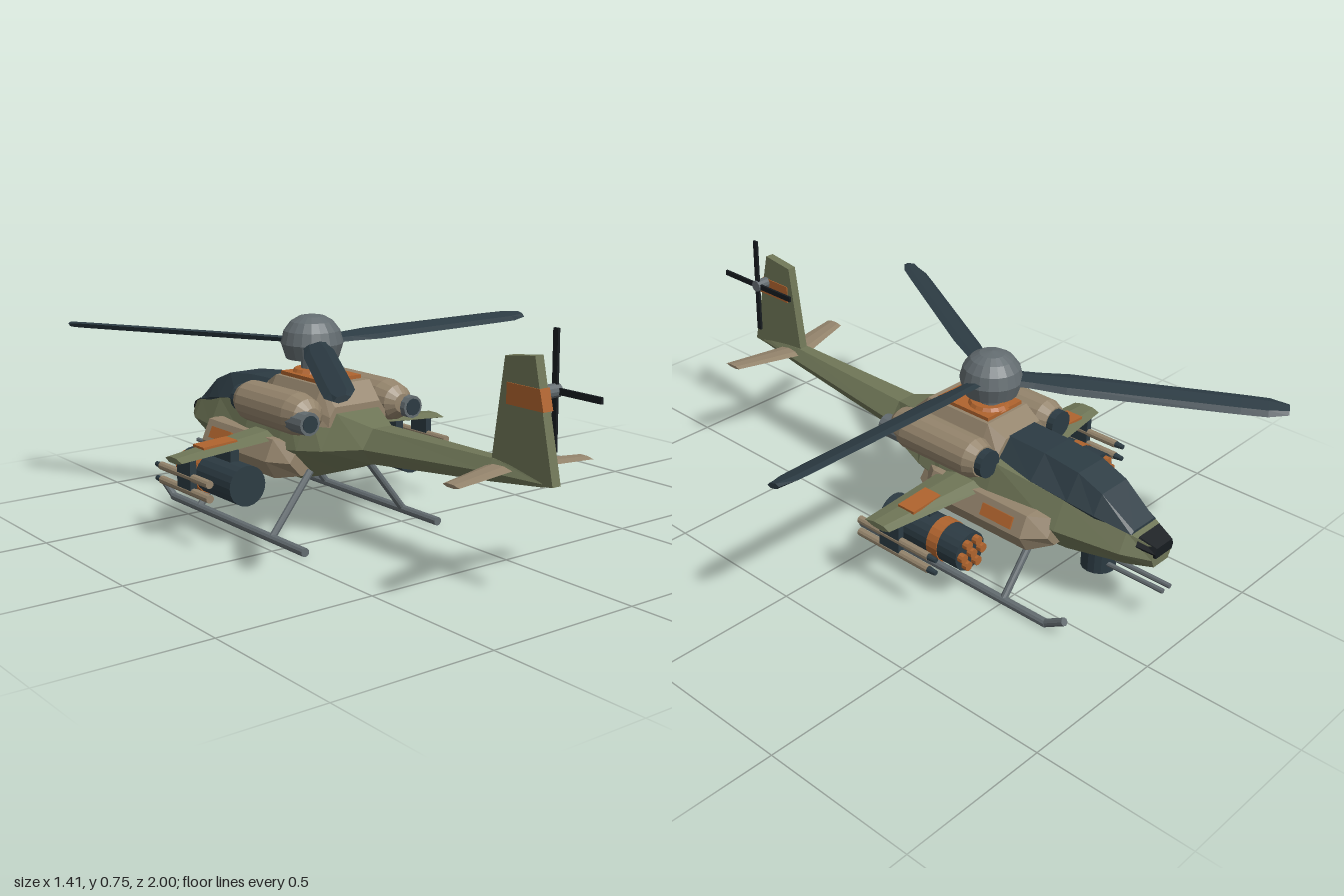
import * as THREE from 'three';

const mat = (name, color, flatShading = true) => {
  const m = new THREE.MeshStandardMaterial({ color, flatShading });
  m.name = name;
  return m;
};

export function createModel() {
  const green = mat('olive green', 0x6f7657);
  const tan = mat('sand tan', 0x94846c);
  const dark = mat('slate blue', 0x2c3b43);
  const grey = mat('steel grey', 0x636c70);
  const orange = mat('rust orange', 0xb0642e);
  const black = mat('near black', 0x171c20);

  const model = new THREE.Group();
  model.name = 'helicopter';
  const body = new THREE.Group();
  body.name = 'airframe';
  body.position.x = -0.196; // long rotor blade reaches out to +x
  model.add(body);

  const add = (name, geo, material, x = 0, y = 0, z = 0, parent = body) => {
    const m = new THREE.Mesh(geo, material);
    m.name = name;
    m.position.set(x, y, z);
    parent.add(m);
    return m;
  };
  const box = (w, h, d) => new THREE.BoxGeometry(w, h, d);
  const cylZ = (r, len, n = 16, r2 = r) => new THREE.CylinderGeometry(r, r2, len, n).rotateX(Math.PI / 2);

  // Skin a list of equal-length rings, with closed ends
  const loft = (rings) => {
    const p = [];
    const tri = (...v) => v.forEach((q) => p.push(...q));
    const n = rings[0].length;
    for (let i = 0; i < rings.length - 1; i++) {
      for (let j = 0; j < n; j++) {
        const k = (j + 1) % n, A = rings[i], B = rings[i + 1];
        tri(A[j], A[k], B[k]);
        tri(A[j], B[k], B[j]);
      }
    }
    const first = rings[0], last = rings[rings.length - 1];
    for (let j = 1; j < n - 1; j++) {
      tri(first[0], first[j + 1], first[j]);
      tri(last[0], last[j], last[j + 1]);
    }
    const g = new THREE.BufferGeometry();
    g.setAttribute('position', new THREE.Float32BufferAttribute(p, 3));
    g.computeVertexNormals();
    return g;
  };
  // Symmetric section along z: [z, bottomY, bottomHalf, midY, midHalf, topY, topHalf]
  const hullRing = ([z, by, bw, my, mw, ty, tw]) =>
    [[mw, my, z], [tw, ty, z], [-tw, ty, z], [-mw, my, z], [-bw, by, z], [bw, by, z]];
  // Lens section along x: [x, frontZ, backZ, y, thickness]
  const wing = (stations, s) => {
    const rings = stations.map(([x, f, b, y, t]) => [
      [x * s, y + t / 2, f + (b - f) * 0.65], [x * s, y, b], [x * s, y - t / 2, f + (b - f) * 0.65],
      [x * s, y - t / 2, f + (b - f) * 0.25], [x * s, y, f], [x * s, y + t / 2, f + (b - f) * 0.25]]);
    return loft(s > 0 ? rings : rings.reverse());
  };
  // Rod between two points
  const rod = (name, a, b, r, material, parent = body) => {
    const A = new THREE.Vector3(...a), B = new THREE.Vector3(...b), d = B.clone().sub(A);
    const m = add(name, new THREE.CylinderGeometry(r, r, d.length(), 10), material, 0, 0, 0, parent);
    m.position.copy(A).add(B).multiplyScalar(0.5);
    m.quaternion.setFromUnitVectors(new THREE.Vector3(0, 1, 0), d.normalize());
    return m;
  };

  // Fuselage and tail boom, nose towards -z
  add('fuselage', loft([
    [-0.885, 0.21, 0.035, 0.24, 0.05, 0.28, 0.04],
    [-0.8, 0.19, 0.05, 0.245, 0.095, 0.308, 0.065],
    [-0.6, 0.165, 0.08, 0.26, 0.152, 0.35, 0.11],
    [-0.35, 0.155, 0.09, 0.27, 0.18, 0.39, 0.14],
    [-0.15, 0.16, 0.09, 0.27, 0.18, 0.41, 0.14],
    [-0.06, 0.187, 0.085, 0.28, 0.17, 0.41, 0.12],
    [0.03, 0.22, 0.07, 0.29, 0.14, 0.4, 0.08],
    [0.155, 0.262, 0.045, 0.31, 0.075, 0.37, 0.035],
    [0.67, 0.315, 0.022, 0.345, 0.04, 0.38, 0.018],
    [0.86, 0.337, 0.01, 0.347, 0.016, 0.36, 0.01],
  ].map(hullRing)), green);

  // Glass canopy
  add('canopy', loft([
    [-0.815, 0.295, 0.05, 0.303, 0.062, 0.312, 0.05],
    [-0.7, 0.3, 0.08, 0.332, 0.095, 0.393, 0.06],
    [-0.61, 0.31, 0.09, 0.35, 0.11, 0.428, 0.06],
    [-0.48, 0.32, 0.1, 0.37, 0.122, 0.443, 0.06],
    [-0.34, 0.34, 0.1, 0.39, 0.11, 0.447, 0.06],
  ].map(hullRing)), dark);

  // Nose sensor visor
  add('noseVisor', loft([
    [-0.892, 0.245, 0.04, 0.262, 0.045, 0.28, 0.038],
    [-0.835, 0.26, 0.06, 0.275, 0.064, 0.302, 0.05],
  ].map(hullRing)), black);

  // Engine deck and its hatch
  add('engineDeck', loft([
    [-0.345, 0.36, 0.12, 0.4, 0.12, 0.445, 0.08],
    [-0.28, 0.36, 0.14, 0.41, 0.125, 0.477, 0.092],
    [-0.03, 0.36, 0.14, 0.41, 0.125, 0.477, 0.092],
    [0.03, 0.36, 0.11, 0.39, 0.105, 0.42, 0.085],
  ].map(hullRing)), tan);
  add('deckHatch', box(0.16, 0.012, 0.21), orange, 0, 0.483, -0.165);
  add('mastCollar', new THREE.CylinderGeometry(0.06, 0.07, 0.015, 16), orange, 0, 0.492, -0.205);

  // Side sponsons, one piece passing through the hull
  add('sponsons', loft([
    [-0.59, 0.195, 0.13, 0.235, 0.165, 0.29, 0.13],
    [-0.53, 0.177, 0.19, 0.235, 0.225, 0.302, 0.195],
    [-0.15, 0.177, 0.19, 0.235, 0.225, 0.302, 0.195],
    [-0.08, 0.19, 0.14, 0.235, 0.18, 0.29, 0.14],
  ].map(hullRing)), tan);

  for (const s of [1, -1]) {
    const side = new THREE.Group();
    side.name = s > 0 ? 'plusXSide' : 'minusXSide';
    body.add(side);
    const put = (name, geo, m, x, y, z) => add(name, geo, m, x * s, y, z, side);

    put('sponsonPanel', box(0.008, 0.038, 0.12), orange, 0.214, 0.267, -0.43).rotation.z = 0.42 * s;

    // Engine nacelle, intake and exhaust
    const profile = [[0, -0.335], [0.05, -0.335], [0.065, -0.3], [0.067, -0.04], [0.055, 0.01], [0.03, 0.035], [0, 0.037]];
    put('nacelle', new THREE.LatheGeometry(profile.map(([r, z]) => new THREE.Vector2(r, z)), 16)
      .rotateX(Math.PI / 2), tan, 0.172, 0.4, 0);
    put('intake', cylZ(0.045, 0.03), dark, 0.172, 0.4, -0.345);
    put('exhaust', cylZ(0.036, 0.12, 12), grey, 0.197, 0.388, -0.003);
    put('exhaustMouth', cylZ(0.027, 0.008, 12), dark, 0.197, 0.388, 0.056);

    // Stub wing with panel
    add('stubWing', wing([[0.13, -0.345, -0.165, 0.3, 0.034], [0.51, -0.265, -0.163, 0.272, 0.018]], s),
      green, 0, 0, 0, side);
    put('wingPanel', box(0.12, 0.009, 0.065), orange, 0.35, 0.297, -0.237).rotation.z = -0.06 * s;

    // Rocket pod
    put('podPylon', box(0.03, 0.05, 0.1), dark, 0.322, 0.258, -0.22);
    put('rocketPod', cylZ(0.064, 0.32, 20), dark, 0.322, 0.185, -0.26);
    put('podBand', cylZ(0.067, 0.042, 20), orange, 0.322, 0.185, -0.322);
    for (let i = 0; i < 7; i++) {
      const a = i * Math.PI / 3, r = i < 6 ? 0.042 : 0;
      put('rocketTip', cylZ(0.015, 0.03, 10), orange, 0.322 + r * Math.cos(a), 0.185 + r * Math.sin(a), -0.423);
    }

    // Missile pair on the outer pylon
    put('missilePylon', box(0.022, 0.1, 0.08), dark, 0.46, 0.225, -0.225);
    for (const y of [0.215, 0.17]) {
      put('missile', cylZ(0.013, 0.29, 10), tan, 0.46, y, -0.235);
      put('missileTip', cylZ(0.011, 0.03, 10, 0.008), dark, 0.46, y, -0.395);
    }

    // Landing skid
    rod('skid', [0.257 * s, 0.014, 0.11], [0.257 * s, 0.014, -0.675], 0.014, grey, side);
    rod('skidToe', [0.257 * s, 0.014, -0.67], [0.257 * s, 0.055, -0.74], 0.013, grey, side);
    for (const z of [-0.07, -0.505]) rod('skidStrut', [0.257 * s, 0.016, z], [0.11 * s, 0.205, z], 0.012, grey, side);

    // Tailplane
    add('tailplane', wing([[0.01, 0.65, 0.75, 0.36, 0.014], [0.245, 0.728, 0.795, 0.36, 0.01]], s), tan, 0, 0, 0, side);

    // Gun barrel
    put('gunBarrel', cylZ(0.008, 0.22, 8), grey, 0.018, 0.13, -0.805);
  }

  // Gun turret
  add('gunTurret', new THREE.CylinderGeometry(0.055, 0.055, 0.08, 16), dark, 0, 0.138, -0.665);

  // Tail fin and painted band; outline given as [z, y]
  const plate = (pts, t) => new THREE.ExtrudeGeometry(
    new THREE.Shape(pts.map(([z, y]) => new THREE.Vector2(-z, y))), { depth: t, bevelEnabled: false })
    .translate(0, 0, -t / 2).rotateY(Math.PI / 2);
  add('tailFin', plate([[0.9, 0.345], [0.83, 0.337], [0.66, 0.365], [0.71, 0.67], [0.825, 0.685]], 0.03), green);
  add('finBand', plate([[0.863, 0.54], [0.72, 0.54], [0.72, 0.6], [0.848, 0.6]], 0.036), orange);

  // Tail rotor
  add('tailRotorHub', new THREE.CylinderGeometry(0.02, 0.02, 0.055, 12).rotateZ(Math.PI / 2), grey, 0.038, 0.585, 0.83);
  add('tailRotorBlade', box(0.008, 0.335, 0.018), black, 0.056, 0.585, 0.83);
  add('tailRotorBlade', box(0.008, 0.018, 0.34), black, 0.056, 0.585, 0.83);

  // Main rotor: mast, domed hub, three pitched blades
  const rotor = new THREE.Group();
  rotor.name = 'mainRotor';
  rotor.position.set(0, 0.585, -0.21);
  body.add(rotor);
  add('mast', new THREE.CylinderGeometry(0.037, 0.037, 0.12, 12), grey, 0, -0.06, 0, rotor);
  const dome = [[0, -0.055], [0.085, -0.053], [0.1, -0.005], [0.09, 0.035], [0.068, 0.064], [0.04, 0.08], [0, 0.087]];
  add('hub', new THREE.LatheGeometry(dome.map(([r, y]) => new THREE.Vector2(r, y)), 20), grey, 0, 0, 0, rotor);
  const blade = loft([[0.05, 0.035], [0.14, 0.038], [0.24, 0.047], [0.76, 0.044], [0.84, 0.042], [0.9, 0.024]].map(([r, w]) => {
    const t = 0.008;
    return [[w, 0, r], [w * 0.5, t, r], [-w * 0.5, t, r], [-w, 0, r], [-w * 0.5, -t, r], [w * 0.5, -t, r]];
  })).rotateY(Math.PI / 2).rotateX(0.27);
  for (let i = 0; i < 3; i++) add('rotorBlade', blade, dark, 0, 0, 0, rotor).rotation.y = i * Math.PI * 2 / 3;

  return model;
}
